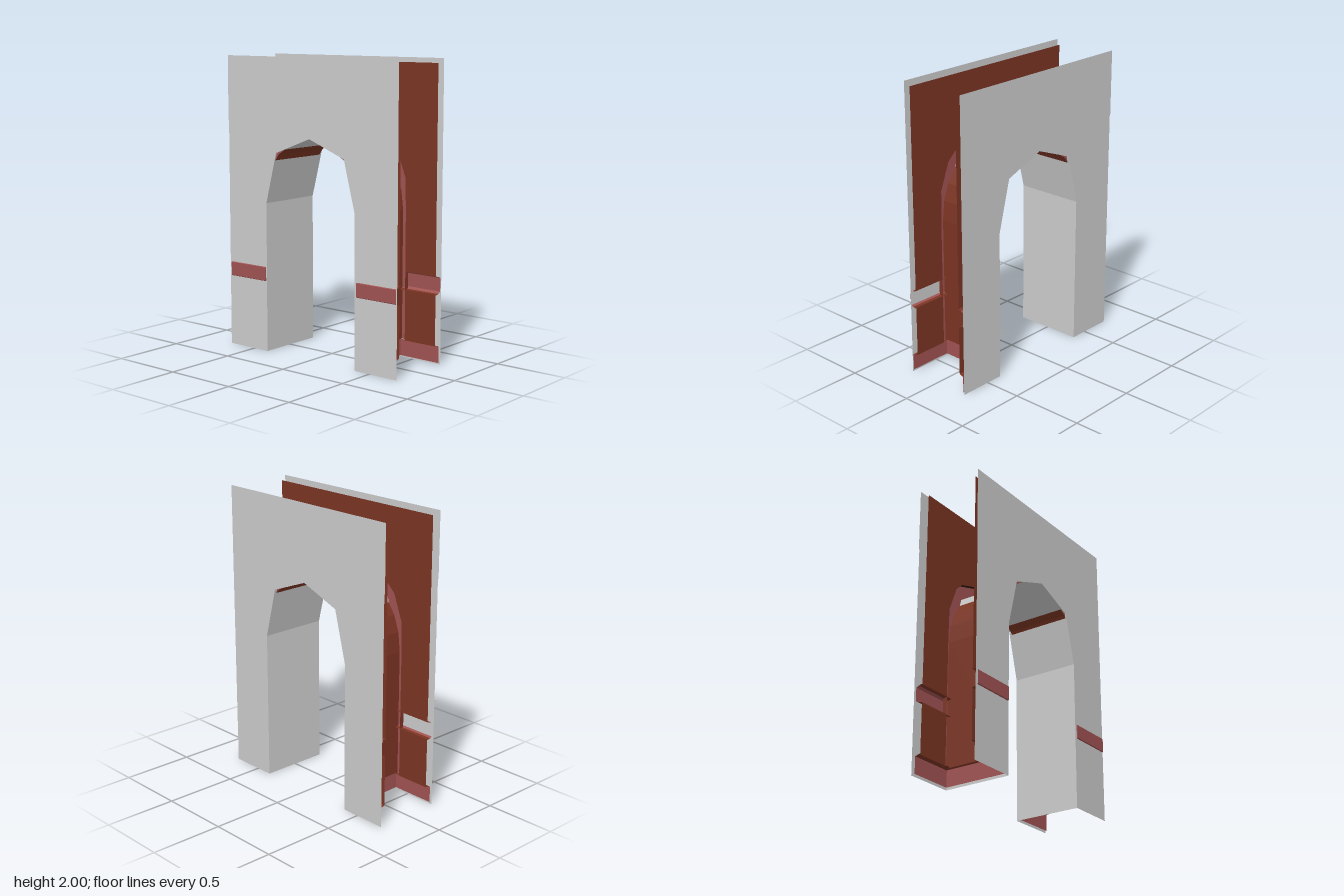
import * as THREE from 'three';

const mat = (name, color) => new THREE.MeshStandardMaterial({ name, color, side: THREE.DoubleSide, flatShading: true });

export function createModel() {
  const plaster = mat('grey plaster', 0xcbcbcb);
  const brick = mat('brown brick', 0x7a3423);
  const trim = mat('red trim', 0xa05252);
  const dark = mat('dark stone', 0x33200f);

  const model = new THREE.Group();
  model.name = 'archway';
  const core = new THREE.Group();
  core.name = 'brickCore';
  core.position.x = 0.005;
  model.add(core);

  const add = (parent, name, geometry, material) => {
    const mesh = new THREE.Mesh(geometry, material);
    mesh.name = name;
    parent.add(mesh);
    return mesh;
  };
  // mirrors a right-hand outline (ending on the centre line) to the left
  const mirror = (pts) => [...pts, ...pts.slice(0, -1).reverse().map(([x, y]) => [-x, y])];
  const shape = (pts) => new THREE.ShapeGeometry(new THREE.Shape(pts.map(([x, y]) => new THREE.Vector2(x, y))));

  // joins successive 3D paths with flat quads
  const loft = (paths) => {
    const pos = [];
    for (let i = 0; i < paths.length - 1; i++) {
      const a = paths[i], b = paths[i + 1];
      for (let j = 0; j < a.length - 1; j++) {
        pos.push(...a[j], ...a[j + 1], ...b[j + 1], ...a[j], ...b[j + 1], ...b[j]);
      }
    }
    const g = new THREE.BufferGeometry();
    g.setAttribute('position', new THREE.Float32BufferAttribute(pos, 3));
    g.computeVertexNormals();
    return g;
  };
  const at = (pts, z) => pts.map(([x, y]) => [x, y, z]);

  // Plaster faces and the lining of the opening
  const opening = mirror([[0.38, 0], [0.38, 1.02], [0.29, 1.365], [0, 1.475]]);
  const outside = [[-0.72, 0], [-0.72, 1.56], [-0.725, 1.56], [-0.725, 2], [0.72, 2], [0.72, 0]];
  const zFront = 0.233, zBack = -0.243;
  const face = [...outside, ...opening];
  add(model, 'frontFace', shape(face), plaster).position.z = zFront;
  const back = add(model, 'backFace', shape(face.map(([x, y]) => [-x, y])), plaster);
  back.rotation.y = Math.PI;
  back.position.z = zBack;
  add(model, 'openingLining', loft([at(opening, zBack), at(opening, zFront)]), plaster);

  // Brick vault behind the plaster lining
  const vault = mirror([[0.415, 0.13], [0.415, 1.0], [0.4, 1.13], [0.36, 1.24], [0.28, 1.355], [0.15, 1.44], [0, 1.482]]);
  add(core, 'brickVault', loft([at(vault, -0.225), at(vault, 0.225)]), brick);

  // Brick panels and arch surround on both faces
  const ring = mirror([[0.46, 0.13], [0.46, 1.0], [0.455, 1.22], [0.385, 1.4], [0.325, 1.457], [0.17, 1.505], [0, 1.53]]);
  const upperRing = ring.map(([x, y]) => [x, Math.max(y, 0.595)]);
  const upper = [[-0.705, 0.595], [-0.705, 1.97], [0.705, 1.97], [0.705, 0.595], ...upperRing];
  for (const s of [1, -1]) {
    const side = s > 0 ? 'front' : 'back';
    add(core, side + 'UpperPanel', shape(upper), brick).position.z = s * 0.195;
    for (const m of [1, -1]) {
      const panel = add(core, side + 'LowerPanel', new THREE.PlaneGeometry(0.245, 0.345), brick);
      panel.position.set(m * 0.5825, 0.3025, s * 0.195);
    }
    add(core, side + 'ArchSurround', loft([at(ring, s * 0.225), at(vault, s * 0.225)]), trim);
    // edge of the surround, alternating brick and dark stones
    for (let i = 0; i < ring.length - 1; i++) {
      const k = Math.min(i, ring.length - 2 - i);
      const seg = [ring[i], ring[i + 1]];
      add(core, side + 'SurroundEdge', loft([at(seg, s * 0.195), at(seg, s * 0.225)]), k === 2 || k === 4 ? dark : brick);
    }
  }

  // Mouldings wrapping each pier in a U: rows are [height, inner x, half depth]
  const wrap = (m, rows) => loft(rows.map(([y, x, z]) => [[m * 0.71, y, z], [m * x, y, z], [m * x, y, -z], [m * 0.71, y, -z]]));
  for (const m of [1, -1]) {
    const pier = m > 0 ? 'left' : 'right';
    add(core, pier + 'Band', wrap(m, [[0.59, 0.405, 0.22], [0.58, 0.392, 0.24], [0.49, 0.392, 0.24], [0.477, 0.405, 0.22]]), trim);
    add(core, pier + 'BandTopLedge', wrap(m, [[0.595, 0.415, 0.195], [0.59, 0.405, 0.22]]), brick);
    add(core, pier + 'BandBottomLedge', wrap(m, [[0.477, 0.405, 0.22], [0.472, 0.415, 0.195]]), brick);
    add(core, pier + 'Base', wrap(m, [[0.125, 0.4, 0.23], [0.012, 0.4, 0.23]]), trim);
    add(core, pier + 'BaseLedge', wrap(m, [[0.135, 0.415, 0.195], [0.125, 0.4, 0.23]]), brick);
  }
  return model;
}
